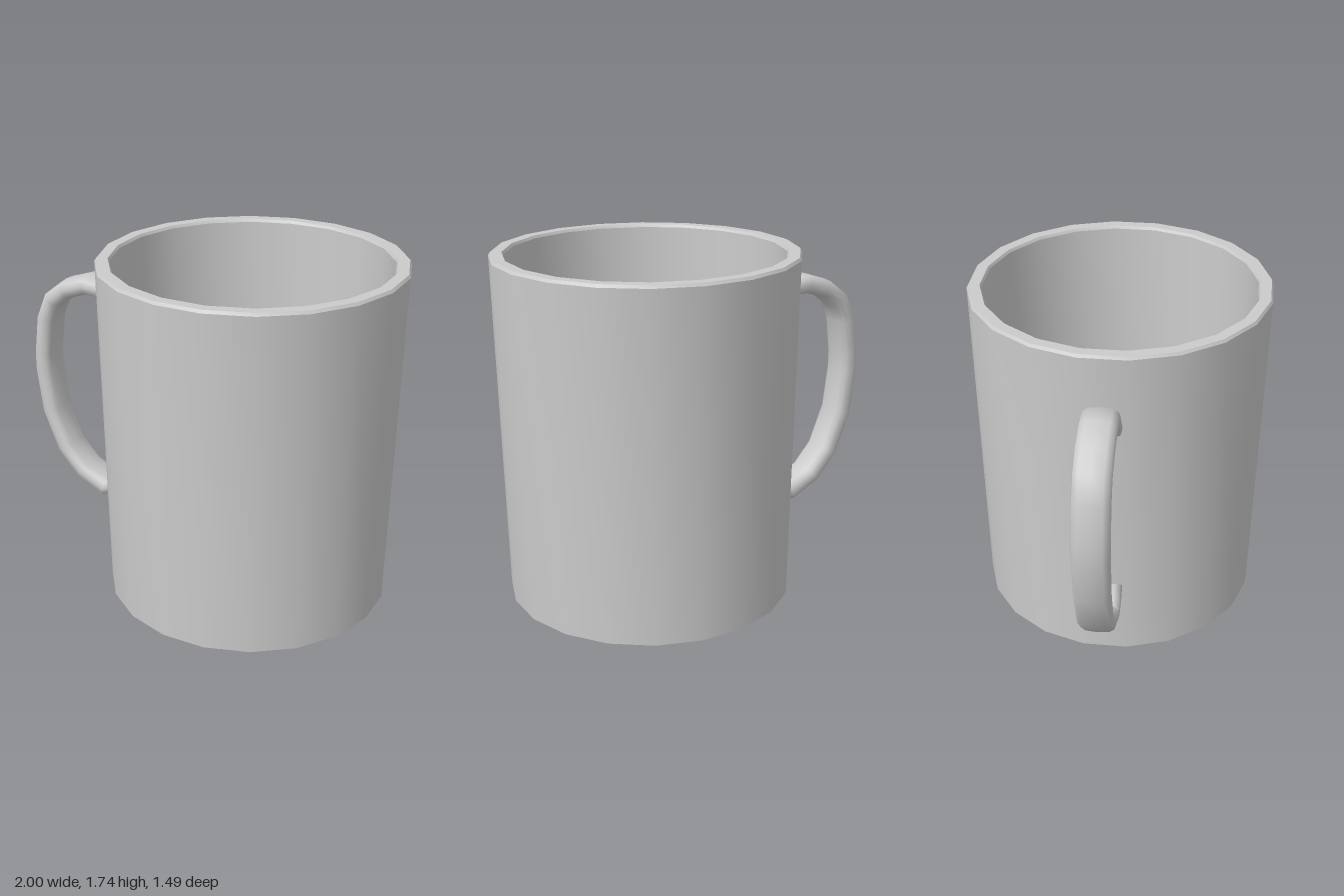
import * as THREE from 'three';
import { toCreasedNormals } from 'three/addons/utils/BufferGeometryUtils.js';

const CUP_X = 0.255;
const SIDES = 20;

// Lofts a flattened, rounded section along a path lying in the XY plane.
function loftHandle(path, halfThickness, halfWidth, segments) {
  const positions = [];
  const indices = [];
  const soften = (v) => Math.sign(v) * Math.pow(Math.abs(v), 0.65);
  const last = path.length - 1;

  path.forEach((p, i) => {
    const a = path[Math.max(i - 1, 0)];
    const b = path[Math.min(i + 1, last)];
    const tangent = b.clone().sub(a).normalize();
    const normal = new THREE.Vector2(-tangent.y, tangent.x);
    for (let j = 0; j < segments; j++) {
      const angle = (j / segments) * Math.PI * 2;
      const n = soften(Math.cos(angle)) * halfThickness;
      const z = soften(Math.sin(angle)) * halfWidth;
      positions.push(p.x + normal.x * n, p.y + normal.y * n, z);
    }
  });

  for (let i = 0; i < last; i++) {
    for (let j = 0; j < segments; j++) {
      const k = (j + 1) % segments;
      const a = i * segments + j;
      const b = i * segments + k;
      indices.push(a, b, a + segments, b, b + segments, a + segments);
    }
  }

  // End caps
  const start = positions.length / 3;
  positions.push(path[0].x, path[0].y, 0, path[last].x, path[last].y, 0);
  for (let j = 0; j < segments; j++) {
    const k = (j + 1) % segments;
    indices.push(start, k, j);
    indices.push(start + 1, last * segments + j, last * segments + k);
  }

  const geometry = new THREE.BufferGeometry();
  geometry.setAttribute('position', new THREE.Float32BufferAttribute(positions, 3));
  geometry.setIndex(indices);
  return toCreasedNormals(geometry, 0.95);
}

export function createModel() {
  const model = new THREE.Group();
  model.name = 'mug';
  const material = new THREE.MeshStandardMaterial({ color: 0xcccccc });

  // Cup: tapered outer wall, softened rim, inner wall and floor
  const profile = [
    [0, 0], [0.72, 0], [0.754, 1.722], [0.745, 1.736],
    [0.69, 1.736], [0.682, 1.722], [0.665, 0.08], [0, 0.08],
  ].map(([r, y]) => new THREE.Vector2(r, y));
  const cupGeometry = new THREE.LatheGeometry(profile, SIDES, Math.PI / SIDES);
  const cup = new THREE.Mesh(toCreasedNormals(cupGeometry, 0.5), material);
  cup.name = 'cup';
  cup.position.x = CUP_X;
  model.add(cup);

  // Handle: a D-shaped loop whose ends curl into the cup wall
  const path = [
    [-0.47, 1.35], [-0.515, 1.41], [-0.57, 1.465], [-0.67, 1.47],
    [-0.79, 1.43], [-0.88, 1.36], [-0.925, 1.25], [-0.95, 1.05],
    [-0.95, 0.96], [-0.92, 0.73], [-0.835, 0.52], [-0.73, 0.4],
    [-0.59, 0.33], [-0.525, 0.355], [-0.465, 0.42],
  ].map(([x, y]) => new THREE.Vector2(x, y));
  const handle = new THREE.Mesh(loftHandle(path, 0.05, 0.09, 12), material);
  handle.name = 'handle';
  model.add(handle);

  return model;
}
